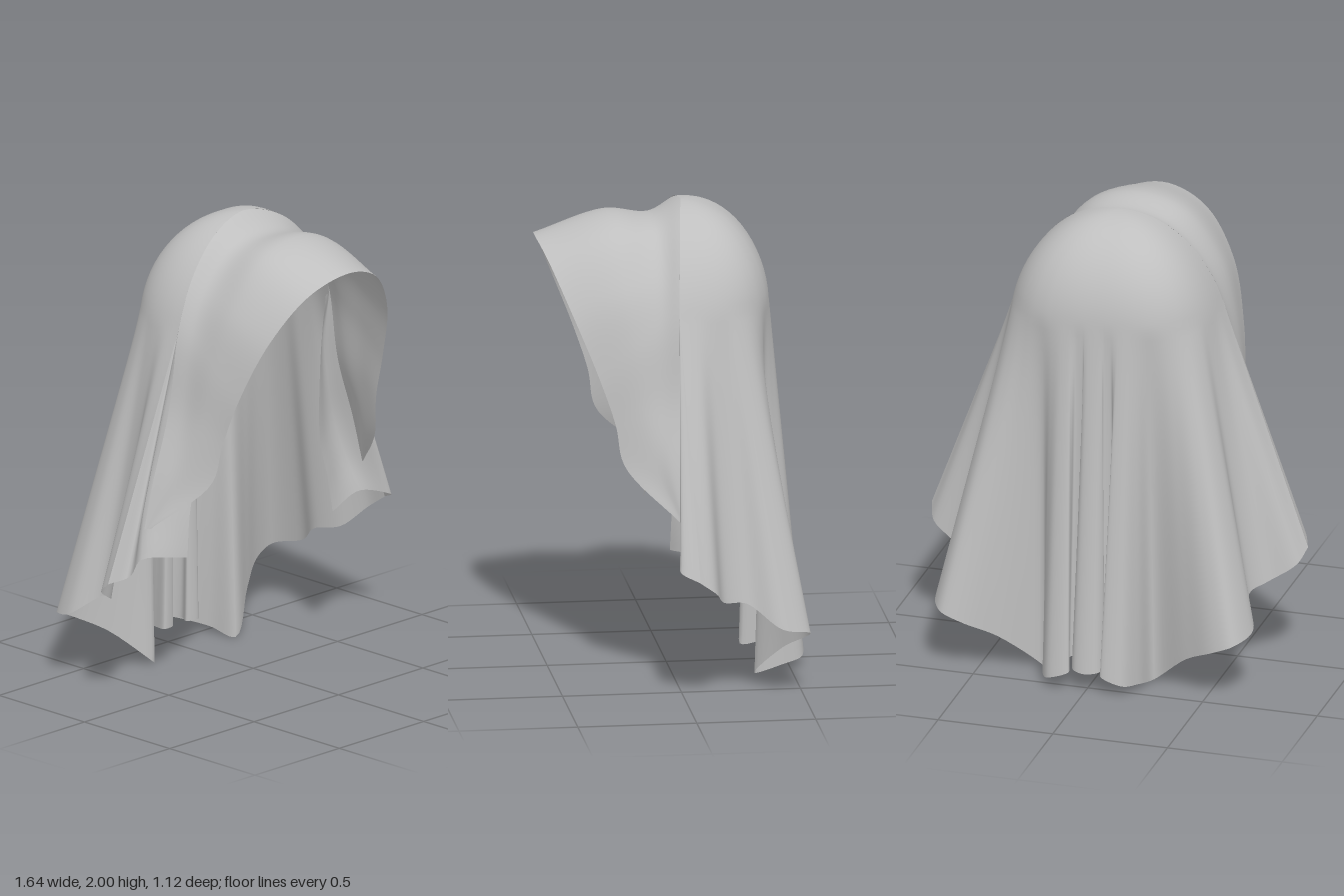
import * as THREE from 'three';

const V = (x, y, z) => new THREE.Vector3(x, y, z);
const curve = (pts) => new THREE.CatmullRomCurve3(pts, false, 'centripetal');
const flip = (p) => V(-p.x, p.y, p.z);
const points = (rows) => rows.map((p) => V(...p));
// half a row, listed from the middle outwards, made into a full row from -x to +x
const mirrored = (half) => [...half.slice(1).reverse().map(flip), ...half];

// smooth sheet from a rule (u, v) => Vector3
function sheet(rule, nu, nv) {
  const pos = [], index = [];
  for (let j = 0; j <= nv; j++)
    for (let i = 0; i <= nu; i++) pos.push(...rule(i / nu, j / nv).toArray());
  for (let j = 0; j < nv; j++)
    for (let i = 0; i < nu; i++) {
      const a = j * (nu + 1) + i, c = a + nu + 1;
      index.push(a, a + 1, c, a + 1, c + 1, c);
    }
  const g = new THREE.BufferGeometry();
  g.setAttribute('position', new THREE.Float32BufferAttribute(pos, 3));
  g.setIndex(index);
  g.computeVertexNormals();
  return g;
}

// sheet through several curves, u along each curve and v from one to the next
function loft(rows, nu, nv) {
  const curves = rows.map(curve);
  const across = [];
  for (let i = 0; i <= nu; i++) across.push(curve(curves.map((c) => c.getPoint(i / nu))));
  return sheet((u, v) => across[Math.round(u * nu)].getPoint(v), nu, nv);
}

export function createModel() {
  const group = new THREE.Group();
  const cloth = new THREE.MeshStandardMaterial({ color: 0xbfbfbf, side: THREE.DoubleSide });
  cloth.name = 'grey cloth';
  const add = (name, geometry) => {
    const m = new THREE.Mesh(geometry, cloth);
    m.name = name;
    group.add(m);
  };

  // hem of the back veil from the middle to the front edge: angle on the dome, x, y, z
  const hem = [
    [0, 0, 0.085, -0.55], [1, 0.05, 0.09, -0.535], [2, 0.07, 0.095, -0.49],
    [3, 0.04, 0.1, -0.43], [5, 0.1, 0.1, -0.42], [7, 0.08, 0.09, -0.5],
    [9, 0.07, 0.085, -0.555], [13, 0.16, 0.05, -0.55], [18, 0.21, 0.03, -0.46],
    [25, 0.24, 0.005, -0.34], [36, 0.41, 0.16, -0.44], [46, 0.55, 0.24, -0.52],
    [54, 0.64, 0.28, -0.52], [62, 0.69, 0.31, -0.4], [70, 0.63, 0.41, -0.26],
    [78, 0.68, 0.43, -0.16], [85, 0.79, 0.5, -0.11], [90, 0.82, 0.555, -0.04],
  ];
  const hemCurve = curve(mirrored(hem.map(([, x, y, z]) => V(x, y, z))));
  const ringCurve = curve(mirrored(hem.map(([deg]) => {
    const a = THREE.MathUtils.degToRad(deg);
    return V(0.44 * Math.sin(a) ** 0.75, 1.6, -0.42 * Math.max(0, Math.cos(a)) ** 0.75);
  })));
  const crown = V(0, 2, -0.06);
  const split = 0.3;

  // rounded head above the ring, straight falling folds below it
  const veil = (u, v) => {
    const ring = ringCurve.getPoint(u);
    if (v > split) return ring.lerp(hemCurve.getPoint(u), (v - split) / (1 - split));
    const end = THREE.MathUtils.degToRad(68 + 18 * Math.min(1, -ring.z / 0.42));
    const a = (v / split) * end;
    const s = Math.sin(a) / Math.sin(end);
    const drop = (1 - Math.cos(a)) / (1 - Math.cos(end));
    return V(
      crown.x + (ring.x - crown.x) * s,
      crown.y + (ring.y - crown.y) * drop,
      crown.z + (ring.z - crown.z) * s
    );
  };
  add('backVeil', sheet(veil, 204, 60));

  // front hood: seam on the veil's edge, valley, swell and brim, each from the middle to the lower tip
  const seam = [0, 0.36, 0.68, 1].map((t) => veil(1, split * t));
  const hoodRows = [
    [...seam, ...points([[0.5, 1.25, 0], [0.59, 0.97, 0], [0.645, 0.765, 0]])],
    points([[0, 1.935, 0.07], [0.17, 1.9, 0.06], [0.33, 1.75, 0.06], [0.425, 1.55, 0.07], [0.485, 1.23, 0.07], [0.57, 0.97, 0.05], [0.64, 0.766, 0.007]]),
    points([[0, 1.955, 0.25], [0.2, 1.9, 0.25], [0.36, 1.7, 0.24], [0.435, 1.47, 0.2], [0.48, 1.2, 0.16], [0.545, 0.95, 0.1], [0.635, 0.767, 0.014]]),
    points([[0, 1.865, 0.555], [0.2, 1.8, 0.52], [0.35, 1.61, 0.44], [0.425, 1.36, 0.34], [0.455, 1.15, 0.27], [0.485, 0.98, 0.235], [0.63, 0.768, 0.02]]),
  ];
  add('frontHood', loft(hoodRows.map((r) => mirrored(r).reverse()), 80, 24));

  // pleat on each side, folding from the veil's front edge to the face opening
  const edge = [0, 0.2, 0.4, 0.6, 0.8, 1].map((t) => veil(1, split + t * (1 - split)));
  const pleat = [
    edge,
    edge.map((p, i) => V(p.x - 0.009 * i, p.y + 0.008 * i, p.z + 0.016 * i)),
    points([[0.45, 1.55, 0], [0.46, 1.35, -0.04], [0.5, 1.15, -0.06], [0.55, 0.95, -0.07], [0.6, 0.78, -0.05], [0.65, 0.63, -0.01]]),
    points([[0.41, 1.55, 0.02], [0.39, 1.4, 0.02], [0.395, 1.2, 0], [0.375, 0.93, 0.02], [0.41, 0.75, 0.03], [0.43, 0.6, 0.04]]),
  ];
  // rows run down the cloth, so reversing their order mirrors the facing
  add('leftPleat', loft([...pleat].reverse(), 30, 18));
  add('rightPleat', loft(pleat.map((r) => r.map(flip)), 30, 18));

  return group;
}
